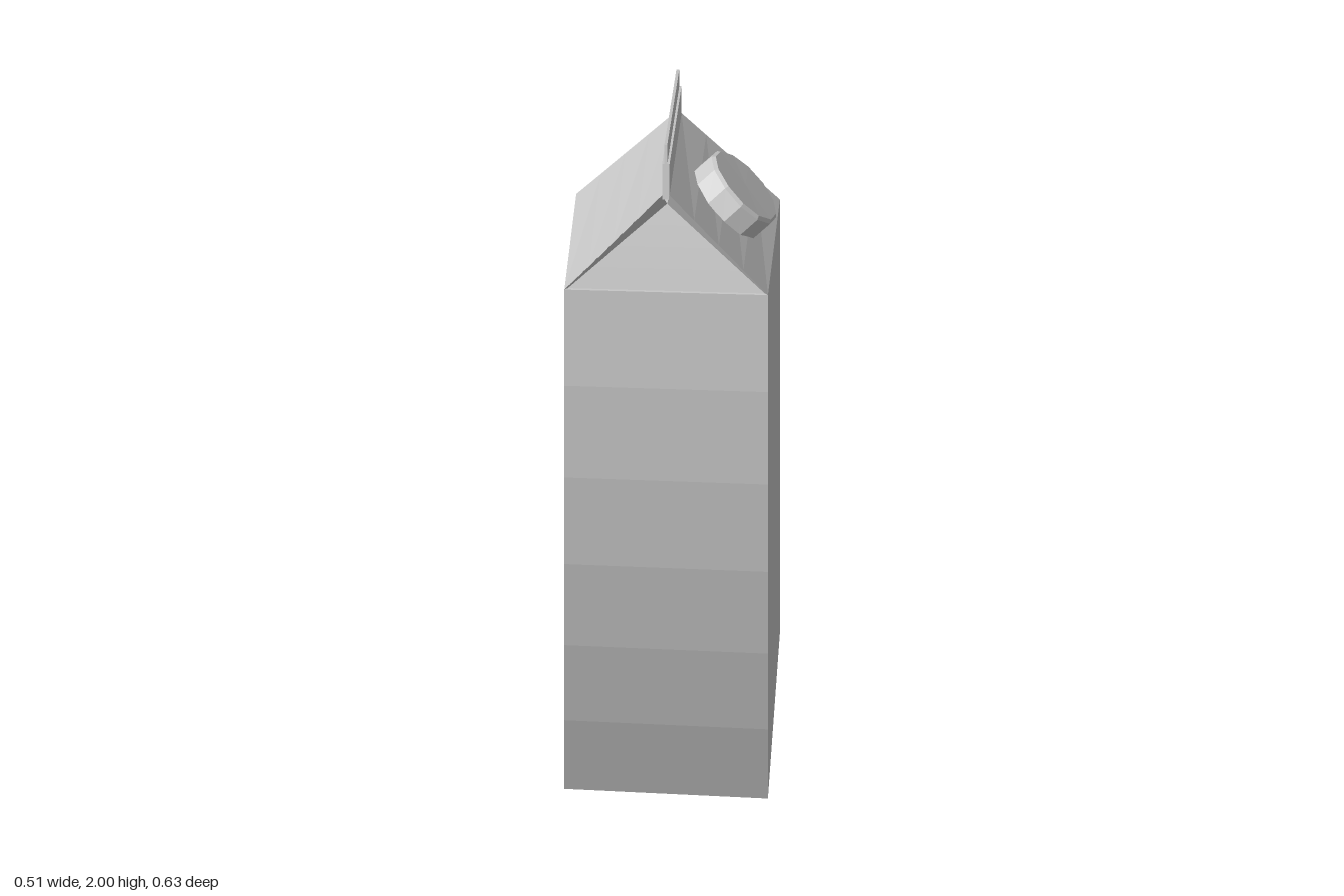
import * as THREE from 'three';

const R = 3.33;          // bend radius of the carton's centre line
const LEAN = 0.2976;     // lean angle at the base
const TWIST = 0.06;      // heading of the bend, slightly off the z axis
const H = 0.248;         // half width
const EAVE = 1.517, RIDGE = 1.761, STEP = 1.838, TOP = 1.885;

// Curve upright geometry along an arc
function bend(geometry) {
  const p = geometry.attributes.position;
  const c = Math.cos(TWIST), s = Math.sin(TWIST);
  for (let i = 0; i < p.count; i++) {
    const x = p.getX(i), y = p.getY(i), z = p.getZ(i);
    const u = x * c - z * s, v = x * s + z * c;
    const a = y / R - LEAN;
    const w = 0.068 - R * (1 - Math.cos(a)) + v * Math.cos(a);
    p.setXYZ(i, u * c + w * s, 1.046 + R * Math.sin(a) + v * Math.sin(a), w * c - u * s);
  }
  geometry.computeVertexNormals();
  return geometry;
}

// Four-cornered sheet a-b-c-d, divided into rows from edge ab to edge dc
function sheet(a, b, c, d, flip, rows = 4) {
  const [A, B, C, D] = [a, b, c, d].map((v) => new THREE.Vector3(...v));
  const points = [], index = [];
  for (let i = 0; i <= rows; i++) {
    points.push(A.clone().lerp(D, i / rows), B.clone().lerp(C, i / rows));
    if (i === rows) break;
    const k = i * 2;
    const tris = [[k, k + 1, k + 3], [k, k + 3, k + 2]];
    tris.forEach((t) => index.push(...(flip ? t.reverse() : t)));
  }
  const g = new THREE.BufferGeometry().setFromPoints(points);
  g.setIndex(index);
  return g;
}

export function createModel() {
  const model = new THREE.Group();
  model.name = 'drinkCarton';
  const card = new THREE.MeshStandardMaterial({ color: 0xcccccc, flatShading: true, side: THREE.DoubleSide });
  card.name = 'plain grey';

  const add = (name, geometry) => {
    const mesh = new THREE.Mesh(bend(geometry), card);
    mesh.name = name;
    model.add(mesh);
  };
  const block = (name, w, y0, y1, d, rows) =>
    add(name, new THREE.BoxGeometry(w, y1 - y0, d, 1, rows, 1).translate(0, (y0 + y1) / 2, 0));

  // Tall body and the two-step sealed fin
  block('body', 2 * H, 0, EAVE, 2 * H, 6);
  block('finBase', 0.018, RIDGE - 0.01, STEP, 2 * H, 1);
  block('finTop', 0.007, STEP, TOP, 2 * H, 1);

  // Sloping roof panels
  for (const s of [1, -1]) {
    add(s > 0 ? 'leftRoof' : 'rightRoof', sheet(
      [s * H, EAVE, H], [s * H, EAVE, -H], [s * 0.009, RIDGE, -H], [s * 0.009, RIDGE, H], s < 0));
  }

  // Gables tucked in at front and back, with their folded flaps
  const inset = H - 0.008;
  for (const f of [1, -1]) {
    const end = f > 0 ? 'front' : 'back';
    const apex = [0, 1.72, f * 0.2];
    add(end + 'Gable', sheet([-inset, EAVE, f * inset], [inset, EAVE, f * inset], apex, apex, f < 0));
    for (const s of [1, -1]) {
      add(end + (s > 0 ? 'LeftFold' : 'RightFold'), sheet(
        [s * H, EAVE, f * H], [s * 0.009, RIDGE, f * H], apex, [s * inset, EAVE, f * inset], s * f < 0, 1));
    }
  }

  // Screw cap with a small bevel, set square on the left roof panel
  const profile = [[0, -0.005], [0.112, -0.005], [0.112, 0.057], [0.105, 0.065], [0, 0.065]]
    .map(([x, y]) => new THREE.Vector2(x, y));
  const cap = new THREE.LatheGeometry(profile, 12);
  cap.rotateZ(-Math.atan2(RIDGE - EAVE, H - 0.009)).translate(0.133, 1.634, -0.008);
  add('cap', cap);

  return model;
}
